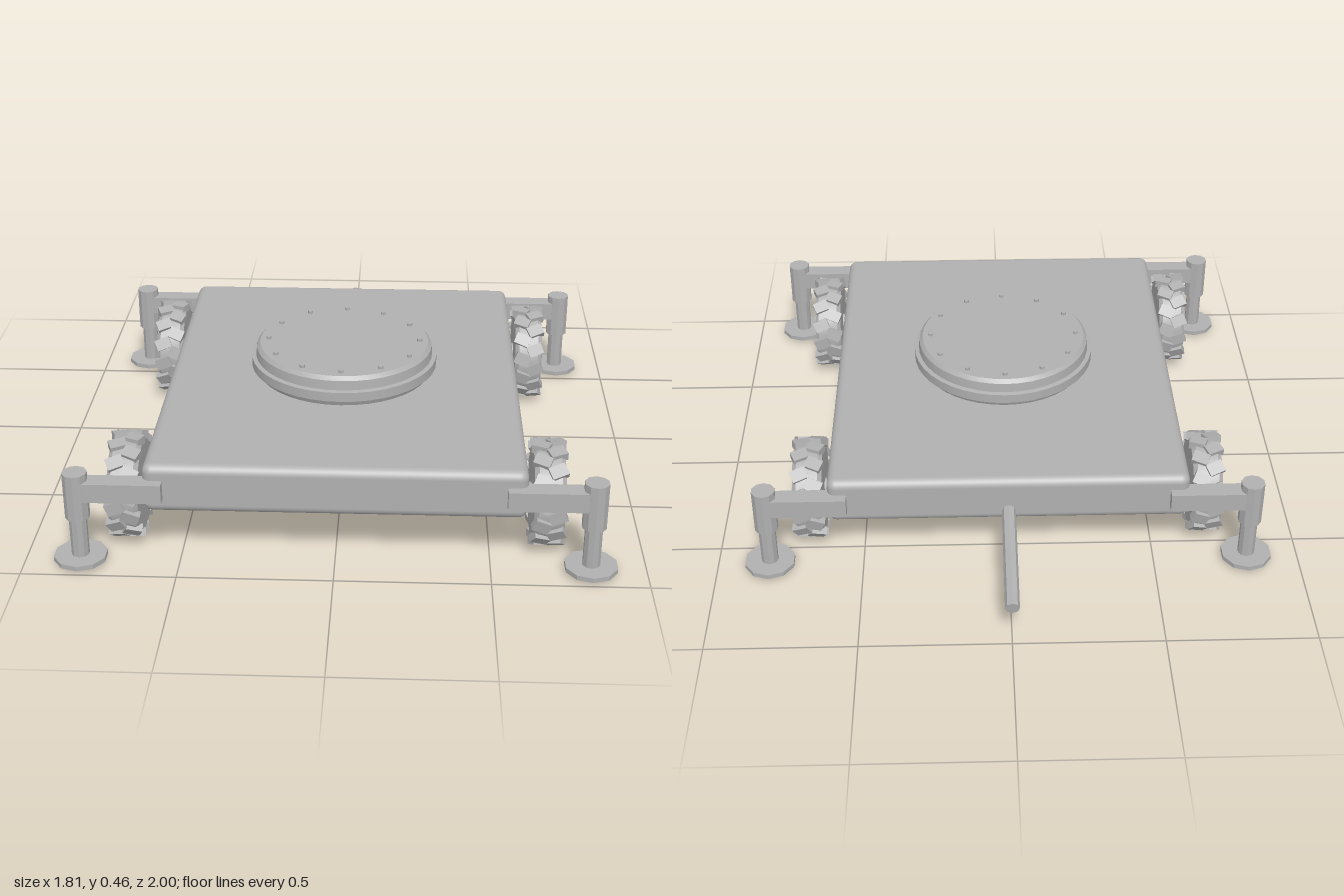
import * as THREE from 'three';
import { toCreasedNormals } from 'three/addons/utils/BufferGeometryUtils.js';
import { RoundedBoxGeometry } from 'three/addons/geometries/RoundedBoxGeometry.js';

const grey = new THREE.MeshStandardMaterial({ color: 0xb0b0b0 });
grey.name = 'grey metal';

function add(parent, name, geo, x = 0, y = 0, z = 0) {
  const mesh = new THREE.Mesh(geo, grey);
  mesh.name = name;
  mesh.position.set(x, y, z);
  parent.add(mesh);
  return mesh;
}

const cyl = (r, h, sides) => toCreasedNormals(new THREE.CylinderGeometry(r, r, h, sides), 0.55);
const lathe = (pts, sides) =>
  toCreasedNormals(new THREE.LatheGeometry(pts.map(p => new THREE.Vector2(...p)), sides), 0.4);

// Wheel built around the y axis, outer face up
function makeWheel() {
  const wheel = new THREE.Group();
  add(wheel, 'tyre', lathe([[0, -0.05], [0.15, -0.05], [0.163, -0.036], [0.163, 0.036], [0.15, 0.05], [0, 0.05]], 32));
  add(wheel, 'hub', cyl(0.03, 0.02, 12), 0, 0.053, 0);
  add(wheel, 'axle', cyl(0.03, 0.06, 12), 0, -0.07, 0);
  for (let i = 0; i < 6; i++) {
    const a = i * Math.PI / 3;
    add(wheel, 'wheelBolt', cyl(0.007, 0.02, 8), Math.cos(a) * 0.062, 0.05, Math.sin(a) * 0.062);
  }
  // Staggered, slanted tread lugs on both halves
  const count = 14;
  for (let i = 0; i < count; i++) {
    for (const side of [-1, 1]) {
      const lug = new THREE.BoxGeometry(0.028, 0.056, 0.042);
      lug.rotateX(side * 0.4);
      lug.translate(0.16, side * 0.024, 0);
      lug.rotateY((i + (side > 0 ? 0.5 : 0)) * Math.PI * 2 / count);
      add(wheel, 'treadLug', lug);
    }
  }
  return wheel;
}

export function createModel() {
  const model = new THREE.Group();
  model.name = 'trailerPlatform';

  // Chassis
  add(model, 'chassis', new RoundedBoxGeometry(1.22, 0.168, 1.5, 4, 0.03), 0, 0.267, 0.16);

  // Turntable with bolt circle
  const turntable = new THREE.Group();
  turntable.name = 'turntable';
  turntable.position.set(0, 0, 0.155);
  model.add(turntable);
  add(turntable, 'turntableRing', lathe([[0, 0.34], [0.3, 0.34], [0.315, 0.374], [0.326, 0.374],
    [0.326, 0.407], [0.311, 0.41], [0.308, 0.443], [0.296, 0.456], [0, 0.456]], 40));
  for (let i = 0; i < 12; i++) {
    const a = i * Math.PI / 6;
    add(turntable, 'turntableBolt', cyl(0.009, 0.02, 8), Math.cos(a) * 0.266, 0.456, Math.sin(a) * 0.266);
  }

  // Wheels
  for (const side of [-1, 1]) {
    for (const z of [-0.38, 0.71]) {
      const wheel = makeWheel();
      wheel.name = (side > 0 ? 'left' : 'right') + (z > 0 ? 'Front' : 'Rear') + 'Wheel';
      wheel.rotation.z = -side * Math.PI / 2;
      wheel.position.set(side * 0.685, 0.178, z);
      model.add(wheel);
    }
  }

  // Outriggers: arm, sleeve, ram and foot pad
  for (const side of [-1, 1]) {
    for (const z of [-0.59, 0.91]) {
      const rig = new THREE.Group();
      rig.name = (side > 0 ? 'left' : 'right') + (z > 0 ? 'Front' : 'Rear') + 'Outrigger';
      rig.position.set(side * 0.82, 0, z);
      model.add(rig);
      add(rig, 'arm', new THREE.BoxGeometry(0.275, 0.066, 0.064), -side * 0.138, 0.267, 0);
      add(rig, 'sleeve', cyl(0.04, 0.16, 10), 0, 0.247, 0);
      add(rig, 'ram', cyl(0.029, 0.17, 10), 0, 0.1, 0);
      add(rig, 'footPad', cyl(0.087, 0.016, 10), 0, 0.021, 0);
    }
  }

  // Tow bar sloping down to the rear
  const bar = add(model, 'towBar', cyl(0.024, 0.45, 8), 0, 0.191, -0.775);
  bar.rotation.x = -Math.PI / 2 - 0.172;

  return model;
}
